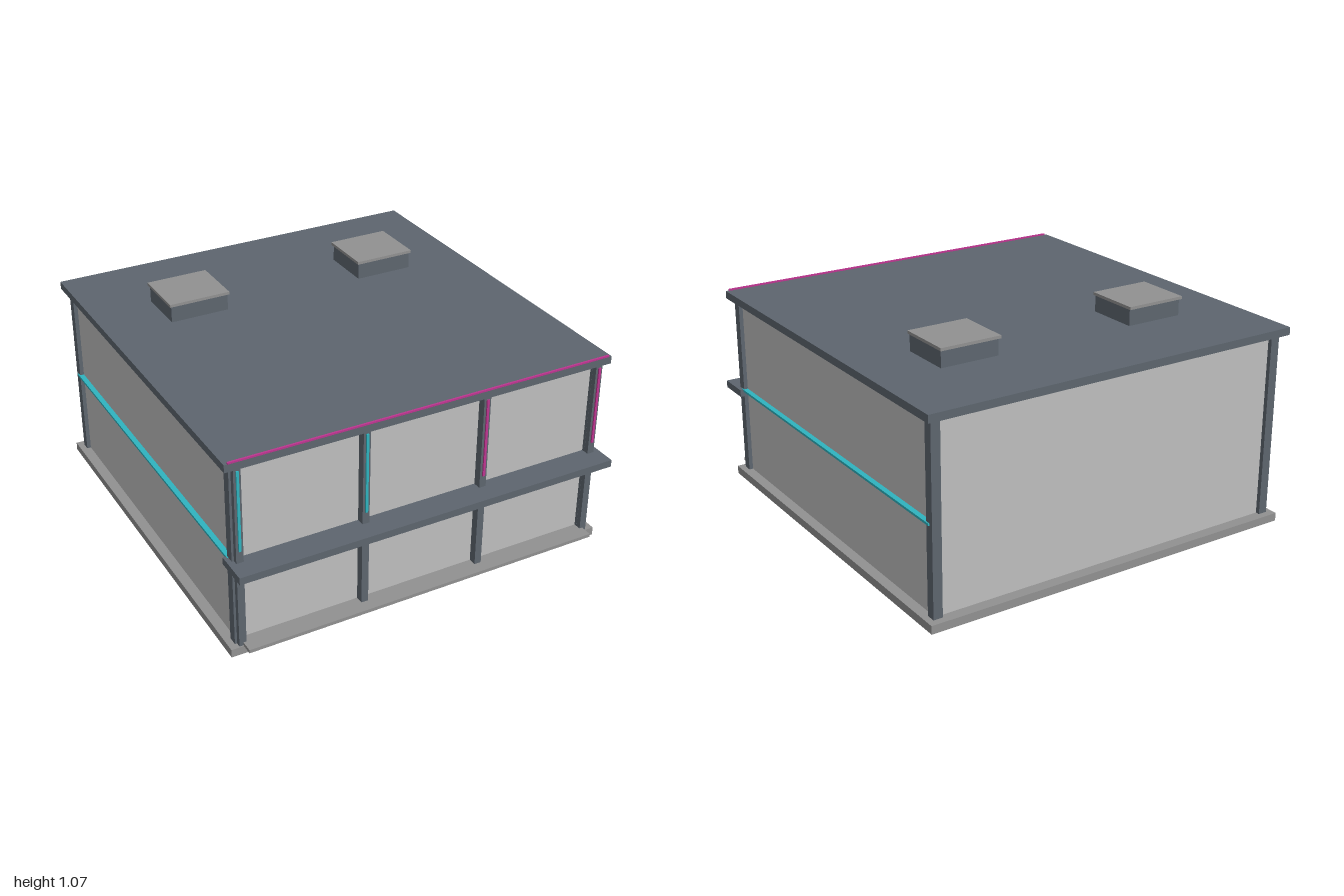
import * as THREE from 'three';

const material = (name, color) => {
  const m = new THREE.MeshStandardMaterial({ color });
  m.name = name;
  return m;
};

export function createModel() {
  const model = new THREE.Group();
  model.name = 'building';
  const slate = material('slate metal', 0x5d656e);
  const concrete = material('concrete', 0x919191);
  const panel = material('pale panel', 0xbebebe);
  const teal = material('teal light', 0x2fb3bf);
  const magenta = material('magenta light', 0xbd3590);

  // Box given by its lower and upper limits on each axis
  const box = (name, mat, [x0, x1], [y0, y1], [z0, z1]) => {
    const mesh = new THREE.Mesh(new THREE.BoxGeometry(x1 - x0, y1 - y0, z1 - z0), mat);
    mesh.position.set((x0 + x1) / 2, (y0 + y1) / 2, (z0 + z1) / 2);
    mesh.name = name;
    model.add(mesh);
  };
  const around = (c, width) => [c - width / 2, c + width / 2];

  // Slabs and main volume
  box('base', concrete, [-0.955, 0.955], [0, 0.04], [-1, 0.91]);
  box('doorstep', concrete, [-0.895, 0.895], [0.038, 0.055], [0.85, 0.963]);
  box('walls', panel, [-0.905, 0.905], [0.04, 0.935], [-0.945, 0.865]);
  box('canopy', slate, [-0.945, 0.945], [0.44, 0.475], [0.835, 1]);
  box('roof', slate, [-0.955, 0.955], [0.935, 0.972], [-1, 0.91]);
  box('roofLight', magenta, [-0.94, 0.94], [0.972, 0.98], [0.903, 0.912]);

  for (const side of [-1, 1]) {
    // Corner posts
    for (const z of [-0.943, 0.858]) {
      box('cornerPost', slate, around(side * 0.902, 0.045), [0.04, 0.935], around(z, 0.045));
    }
    // Light strip along the side wall
    box('sideLight', teal, around(side * 0.917, 0.026), [0.465, 0.476], [-0.945, 0.85]);

    // Roof unit with overhanging cap
    box('roofUnit', slate, around(side * 0.5, 0.288), [0.972, 1.052], [-0.588, -0.332]);
    box('roofUnitCap', concrete, around(side * 0.5, 0.302), [1.052, 1.066], [-0.6, -0.325]);
  }

  // Front mullions with vertical lights on the upper floor
  for (const x of [-0.897, -0.299, 0.299, 0.897]) {
    box('mullion', slate, around(x, 0.034), [0.04, 0.935], [0.86, 0.904]);
    box('mullionLight', x < 0 ? teal : magenta, around(x, 0.012), [0.535, 0.925], [0.903, 0.911]);
  }
  return model;
}
